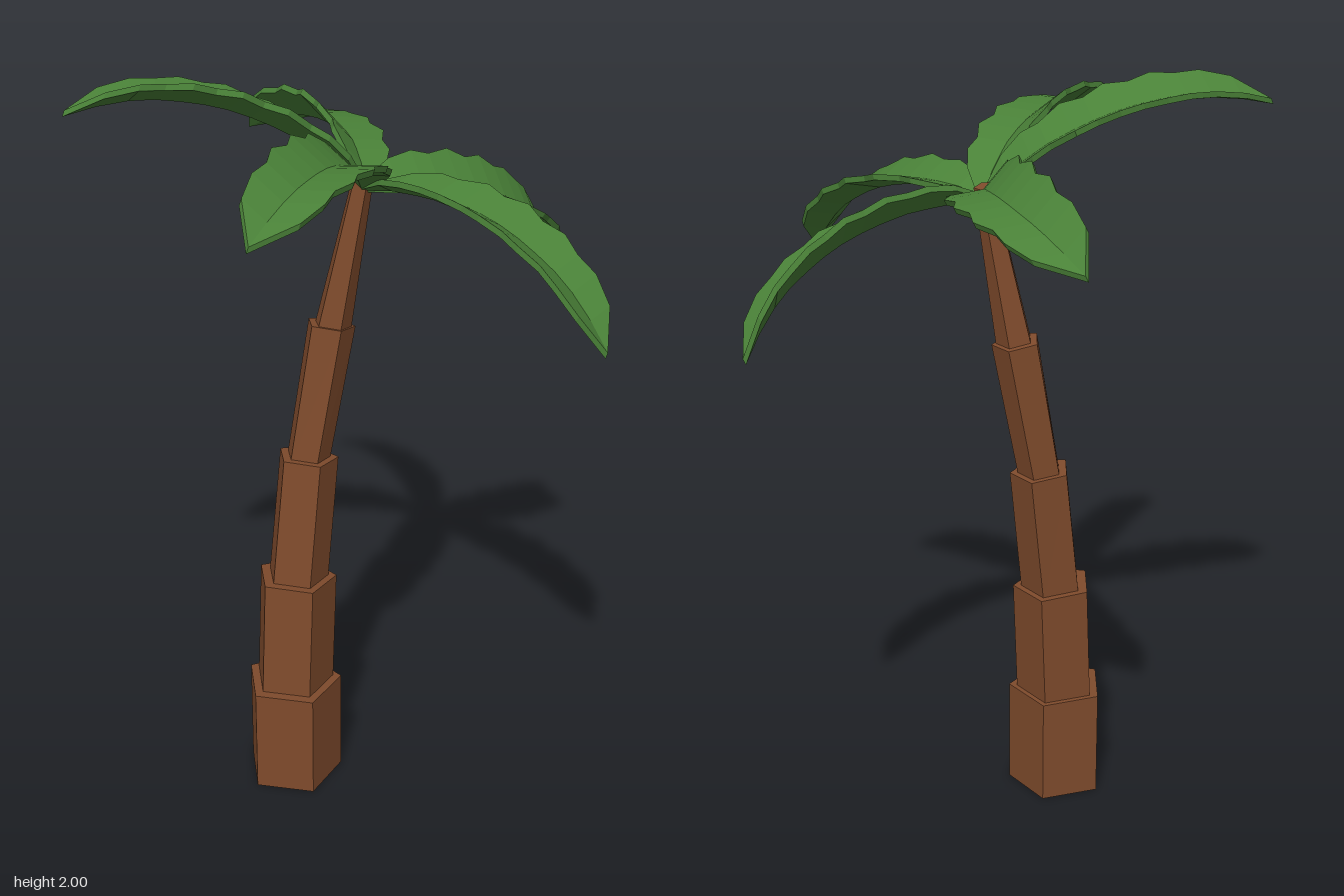
import * as THREE from 'three';

const bark = new THREE.MeshStandardMaterial({ color: 0x7f4b2c });
bark.name = 'bark brown';
const leaf = new THREE.MeshStandardMaterial({ color: 0x4a8238 });
leaf.name = 'leaf green';

const rad = THREE.MathUtils.degToRad;

// Faceted normals: one normal per triangle
function faceted(geometry) {
  const g = geometry.index ? geometry.toNonIndexed() : geometry;
  g.computeVertexNormals();
  return g;
}

// Five-sided trunk piece between two centres [x, y, z, radius]; its top is tilted with the lean
function trunkPiece(a, b, tilt) {
  const h = b[1] - a[1];
  const g = new THREE.CylinderGeometry(b[3], a[3], h, 5, 1, false, Math.PI / 2 - 0.035);
  const p = g.attributes.position;
  for (let i = 0; i < p.count; i++) {
    const t = p.getY(i) / h + 0.5;
    const x = p.getX(i), z = p.getZ(i);
    p.setXYZ(i,
      x + THREE.MathUtils.lerp(a[0], b[0], t),
      a[1] + h * t + tilt * t * (z * 0.7 - x),
      z + THREE.MathUtils.lerp(a[2], b[2], t));
  }
  return new THREE.Mesh(faceted(g), bark);
}

// Frond stations along the midrib: [distance, midrib height, half width]
const STATIONS = [
  [0, 0, 0.015], [0.08, 0.037, 0.065], [0.15, 0.057, 0.088], [0.2, 0.069, 0.08],
  [0.27, 0.077, 0.104], [0.33, 0.08, 0.088], [0.39, 0.079, 0.106], [0.45, 0.072, 0.088],
  [0.51, 0.06, 0.102], [0.57, 0.045, 0.083], [0.63, 0.022, 0.088], [0.7, -0.015, 0.07],
  [0.77, -0.062, 0],
];

// Arched, scalloped frond: a thin slab folded upwards along its midrib
function frondGeometry(length, bend) {
  const thick = 0.016, fold = 0.37;
  const rings = STATIONS.map(([d, y, w]) => {
    const x = d * length / 0.77;
    const z = bend * Math.sin(Math.PI * d / 0.77);
    const e = y + w * fold;
    return [
      [x, e, z - w], [x, y, z], [x, e, z + w],
      [x, e - thick, z + w], [x, y - thick, z], [x, e - thick, z - w],
    ];
  });
  const pos = [];
  for (let i = 0; i < rings.length - 1; i++) {
    for (let k = 0; k < 6; k++) {
      const n = (k + 1) % 6;
      const a = rings[i][k], b = rings[i][n], c = rings[i + 1][n], d = rings[i + 1][k];
      pos.push(...a, ...b, ...c, ...a, ...c, ...d);
    }
  }
  const g = new THREE.BufferGeometry();
  g.setAttribute('position', new THREE.Float32BufferAttribute(pos, 3));
  return faceted(g);
}

export function createModel() {
  const model = new THREE.Group();
  model.name = 'palmTree';

  // Trunk: stacked pieces that lean and get thinner
  const trunk = new THREE.Group();
  trunk.name = 'trunk';
  const pieces = [
    [[-0.132, 0, 0.051, 0.136], [-0.132, 0.297, 0.051, 0.136], 0.015],
    [[-0.13, 0.28, 0.045, 0.112], [-0.117, 0.617, 0.033, 0.111], 0.06],
    [[-0.116, 0.59, 0.032, 0.086], [-0.079, 0.963, 0.003, 0.083], 0.1],
    [[-0.081, 0.94, 0.001, 0.061], [-0.013, 1.327, -0.018, 0.065], 0.14],
    [[-0.014, 1.3, -0.013, 0.052], [0.068, 1.73, -0.004, 0.027], 0.2],
  ];
  pieces.forEach(([a, b, tilt], i) => {
    const m = trunkPiece(a, b, tilt);
    m.name = `trunkPiece${i + 1}`;
    trunk.add(m);
  });
  model.add(trunk);

  // Crown: five fronds around the leaning tip
  const crown = new THREE.Group();
  crown.name = 'crown';
  crown.position.set(0.07, 1.7, 0);
  crown.rotation.z = rad(-23);
  // [heading, pitch and roll in degrees, length, sideways bend]
  const fronds = [
    [177, -0.5, 11, 0.76, 0.02],
    [118.7, 1, 4, 0.79, 0],
    [48, 1.5, 10, 0.775, -0.01],
    [-28, 0.5, 11, 0.745, 0.04],
    [-104, -3, 5, 0.725, 0.025],
  ];
  fronds.forEach(([heading, pitch, roll, length, bend], i) => {
    const m = new THREE.Mesh(frondGeometry(length, bend), leaf);
    m.name = `frond${i + 1}`;
    m.rotation.set(rad(roll), -rad(heading), rad(pitch), 'YZX');
    crown.add(m);
  });
  model.add(crown);

  return model;
}
